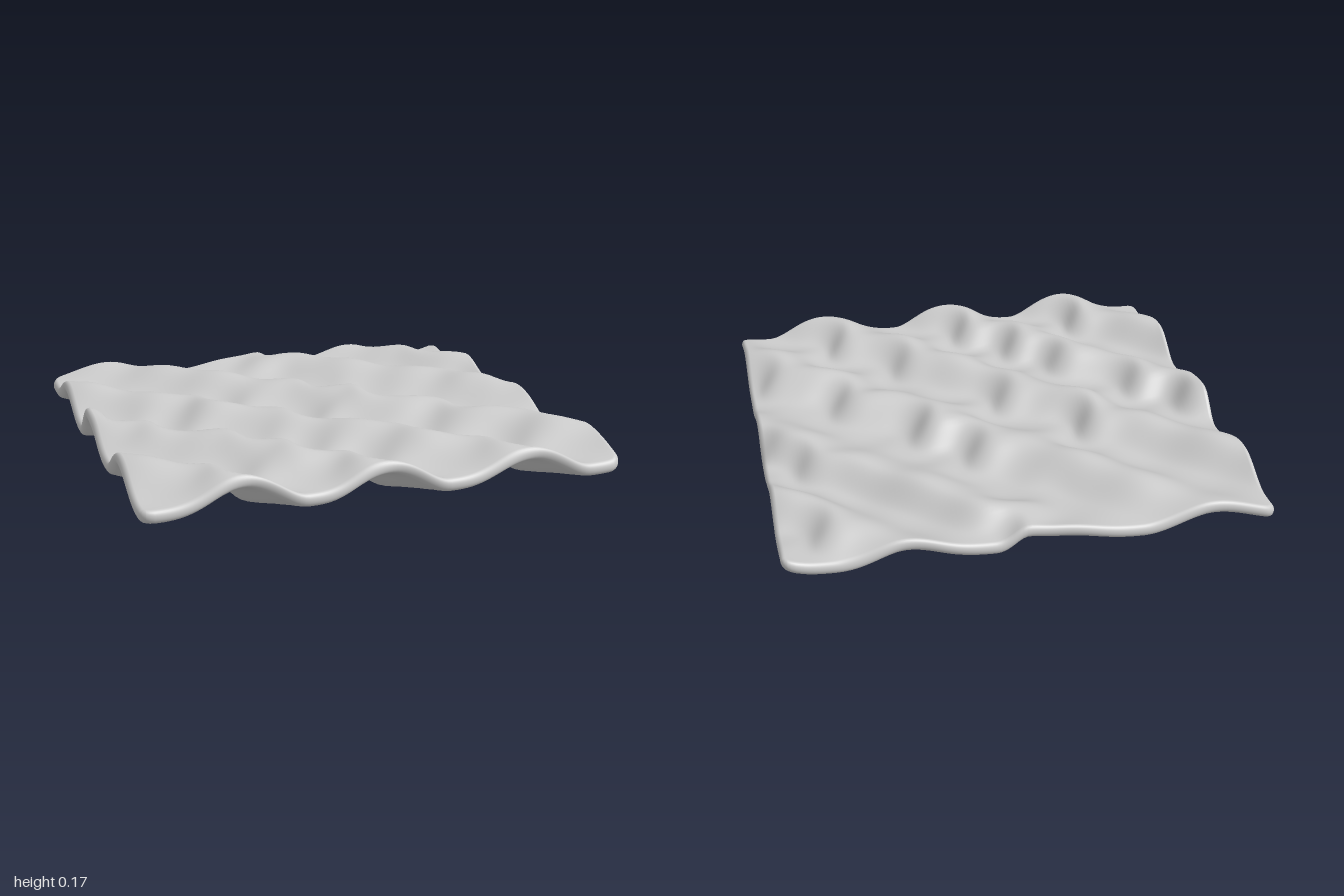
import * as THREE from 'three';
import { mergeVertices } from 'three/addons/utils/BufferGeometryUtils.js';

const HALF = 0.027;   // half thickness of the sheet
const RIM = 0.02;     // width of the rounded rim
const CORNER = 0.05;  // corner radius seen from above
const N = 110;        // cells across the flat part

// Crest positions of the diagonal waves, measured along u = x - z
const CRESTS = [-2.75, -2.17, -1.55, -0.97, -0.37, 0.27, 1.0, 1.52, 2.14, 2.75];

// Places [x, z, strength] where a wave kinks: positive ones drop steeply
// towards +x, negative ones rise steeply away from +z
const KINKS = [
  [-0.38, -0.2, 1.1], [-0.9, -0.05, 0.9], [-0.7, 0.12, 0.9], [-0.05, 0.08, 1], [0.3, -0.1, 1],
  [0.13, -0.33, 1], [0.6, 0.22, 1], [-0.4, 0.4, 0.8], [-0.23, 0.58, 1], [0.32, 0.5, 0.8],
  [-0.6, 0.8, 1], [-0.05, 0.8, 1], [0.58, 0.77, 1], [0.87, -0.85, 0.9], [0.05, -0.97, 0.8],
  [0.86, -0.3, 0.8], [0.97, -0.15, 0.6], [0.96, 0.45, 1], [0, -0.75, -0.7],
];

const smooth = (s) => s * s * (3 - 2 * s);

// Centre height of the sheet: steep lee side, flat trough, gentle rise
function height(x, z) {
  let u = x - z;
  const v = x + z;
  for (const [kx, kz, strength] of KINKS) {
    const du = (x - z - kx + kz) / 0.26;
    const dv = (v - kx - kz) / 0.17;
    u += 0.16 * strength * dv * Math.exp(-du * du - dv * dv);
  }
  let k = 0;
  while (k < CRESTS.length - 2 && u > CRESTS[k + 1]) k++;
  const t = THREE.MathUtils.clamp((u - CRESTS[k]) / (CRESTS[k + 1] - CRESTS[k]), 0, 1);
  const wave = t < 0.38 ? 1 - smooth(t / 0.38) : smooth((t - 0.38) / 0.62) ** 1.35;
  const ripple = Math.sin(8.3 * v + 2.1 * x) * Math.sin(3.7 * u - 4.1 * v + 1);
  // The waves flatten towards the back edge and a little towards +x
  const back = THREE.MathUtils.smoothstep(-z, 0.5, 1);
  const right = THREE.MathUtils.smoothstep(x, 0.75, 1);
  const calm = 1 - 0.33 * back - 0.1 * right;
  return 0.04 + 0.018 * back + 0.104 * calm * wave + (0.005 + 0.007 * wave) * ripple;
}

// Grid lines from -1 to 1, bunched at both ends to round the rim
function gridLines() {
  const rim = [];
  for (let i = 0; i < 7; i++) rim.push(RIM * (1 - Math.cos((i / 7) * Math.PI / 2)));
  const lines = rim.map((e) => e - 1);
  for (let i = 0; i <= N; i++) lines.push((1 - RIM) * ((2 * i) / N - 1));
  return lines.concat(rim.reverse().map((e) => 1 - e));
}

// Bend the square outline into round corners
function roundCorner(x, z) {
  const c = 1 - CORNER;
  const dx = Math.abs(x) - c, dz = Math.abs(z) - c;
  if (dx <= 0 || dz <= 0) return [x, z];
  const f = Math.max(dx, dz) / Math.hypot(dx, dz);
  return [Math.sign(x) * (c + dx * f), Math.sign(z) * (c + dz * f)];
}

function sheetGeometry() {
  const lines = gridLines();
  const n = lines.length;
  const positions = [], index = [];
  for (const side of [1, -1]) {
    const base = positions.length / 3;
    for (const gz of lines) {
      for (const gx of lines) {
        const edge = Math.min(RIM, 1 - Math.max(Math.abs(gx), Math.abs(gz)));
        const half = HALF * Math.sqrt(Math.max(0, 1 - (1 - edge / RIM) ** 2));
        const [x, z] = roundCorner(gx, gz);
        positions.push(x, height(x, z) + side * half, z);
      }
    }
    for (let j = 0; j < n - 1; j++) {
      for (let i = 0; i < n - 1; i++) {
        const a = base + j * n + i, b = a + n, c = a + 1, d = b + 1;
        if (side > 0) index.push(a, b, c, c, b, d);
        else index.push(a, c, b, c, d, b);
      }
    }
  }
  let geometry = new THREE.BufferGeometry();
  geometry.setAttribute('position', new THREE.Float32BufferAttribute(positions, 3));
  geometry.setIndex(index);
  geometry = mergeVertices(geometry, 1e-5); // weld top and underside at the rim
  geometry.computeVertexNormals();
  geometry.computeBoundingBox();
  geometry.translate(0, -geometry.boundingBox.min.y, 0);
  return geometry;
}

export function createModel() {
  const group = new THREE.Group();
  group.name = 'wavySlab';
  const sheet = new THREE.Mesh(sheetGeometry(), new THREE.MeshStandardMaterial({ color: 0xcccccc }));
  sheet.name = 'rippledSheet';
  group.add(sheet);
  return group;
}
